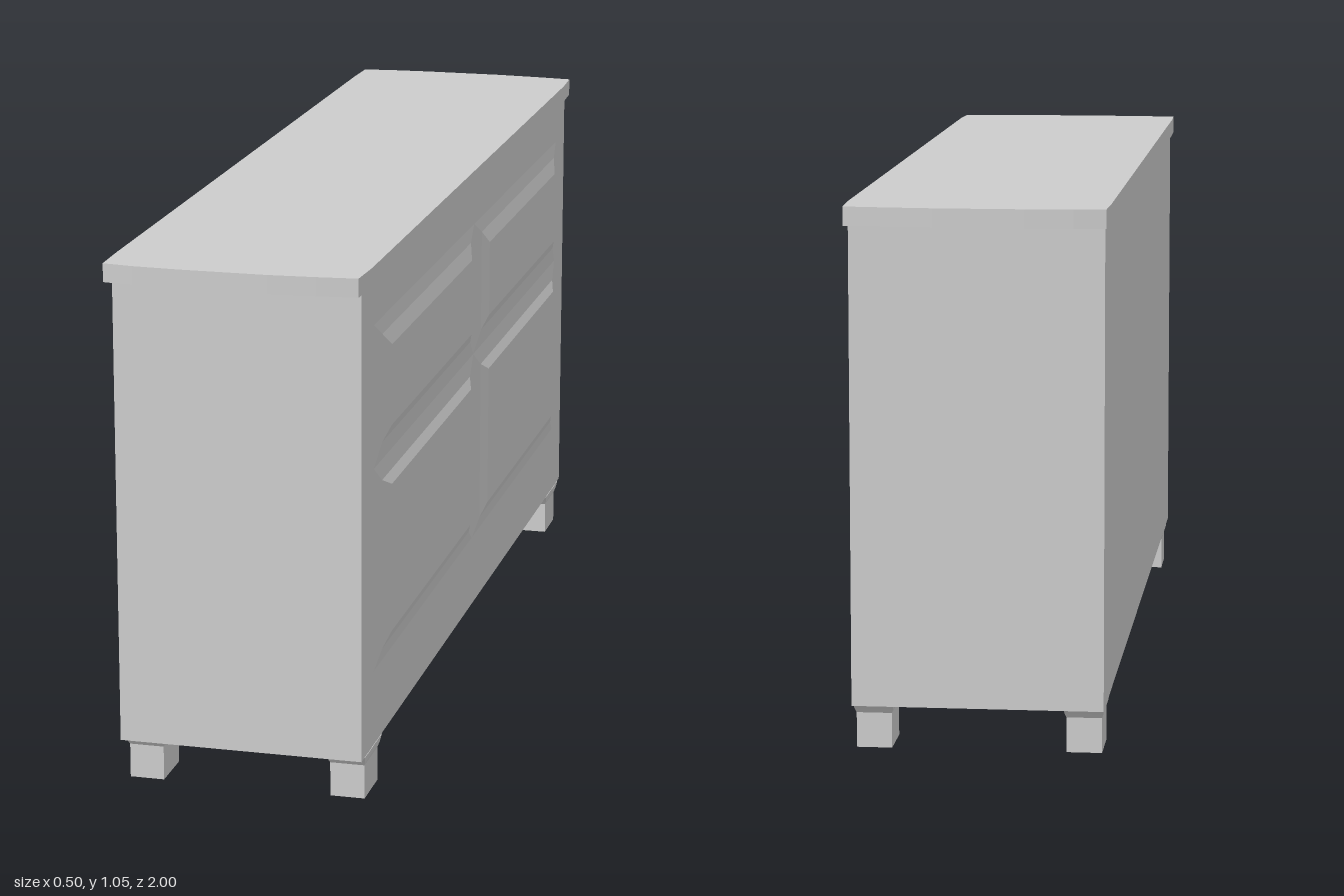
import * as THREE from 'three';

const material = new THREE.MeshStandardMaterial({ color: 0xcccccc, flatShading: true });

function add(parent, name, geometry) {
  const mesh = new THREE.Mesh(geometry, material);
  mesh.name = name;
  parent.add(mesh);
  return mesh;
}

// Joins rectangles [aMin, aMax, bMin, bMax, height] into a faceted solid;
// toXYZ places (a, b, height) in space.
function stackRects(rects, toXYZ) {
  const rings = rects.map(([a0, a1, b0, b1, h]) =>
    [[a0, b0], [a1, b0], [a1, b1], [a0, b1]].map(([a, b]) => toXYZ(a, b, h)));
  const positions = [];
  const quad = (a, b, c, d) => positions.push(...a, ...b, ...c, ...a, ...c, ...d);
  for (let i = 0; i + 1 < rings.length; i++) {
    const lo = rings[i], hi = rings[i + 1];
    for (let k = 0; k < 4; k++) {
      const n = (k + 1) % 4;
      quad(lo[k], lo[n], hi[n], hi[k]);
    }
  }
  const first = rings[0], last = rings[rings.length - 1];
  quad(first[3], first[2], first[1], first[0]);
  quad(last[0], last[1], last[2], last[3]);
  const geometry = new THREE.BufferGeometry();
  geometry.setAttribute('position', new THREE.Float32BufferAttribute(positions, 3));
  geometry.computeVertexNormals();
  return geometry;
}

export function createModel() {
  const model = new THREE.Group();
  model.name = 'sideboard';

  // Cabinet body
  const body = add(model, 'body', new THREE.BoxGeometry(0.48, 0.92, 1.9));
  body.position.set(-0.005, 0.55, 0);

  // Top board with gently bowed ends
  const end = [[-0.252, 0.9], [-0.25, 0.988], [-0.19, 0.996], [-0.1, 1],
    [0.07, 1], [0.16, 0.994], [0.239, 0.986], [0.243, 0.9]];
  const outline = [...end, ...end.map(([x, z]) => [x, -z]).reverse()];
  const board = new THREE.Shape(outline.map(([x, z]) => new THREE.Vector2(x, z)));
  const boardGeometry = new THREE.ExtrudeGeometry(board, { depth: 0.036, bevelEnabled: false });
  boardGeometry.rotateX(-Math.PI / 2);
  add(model, 'topBoard', boardGeometry).position.y = 1.01;

  // Raised panels: shallow outer slope, steeper inner slope, flat field
  const panels = new THREE.Group();
  panels.name = 'raisedPanels';
  model.add(panels);
  const rows = [
    ['upper', [0.645, 0.925], [0.685, 0.897], [0.71, 0.868]],
    ['lower', [0.24, 0.645], [0.27, 0.61], [0.295, 0.592]],
  ];
  const columns = [[0, 0.855], [0.052, 0.81], [0.085, 0.772]];
  const heights = [0.235, 0.24, 0.25];
  for (const [row, ...spans] of rows) {
    for (const side of [1, -1]) {
      const rects = spans.map((y, i) => {
        const z = columns[i].map(v => v * side).sort((a, b) => a - b);
        return [...y, ...z, heights[i]];
      });
      add(panels, `${row}Panel`, stackRects(rects, (y, z, x) => [x, y, z]));
    }
  }

  // Square feet flaring out where they meet the body
  const feet = new THREE.Group();
  feet.name = 'feet';
  model.add(feet);
  const footGeometry = stackRects([
    [-0.05, 0.05, -0.034, 0.034, 0],
    [-0.05, 0.05, -0.034, 0.034, 0.068],
    [-0.057, 0.057, -0.037, 0.037, 0.077],
    [-0.068, 0.068, -0.039, 0.039, 0.09],
  ], (z, x, y) => [x, y, z]);
  for (const x of [-0.205, 0.197]) {
    for (const z of [-0.86, 0.86]) {
      add(feet, 'foot', footGeometry).position.set(x, 0, z);
    }
  }

  return model;
}
